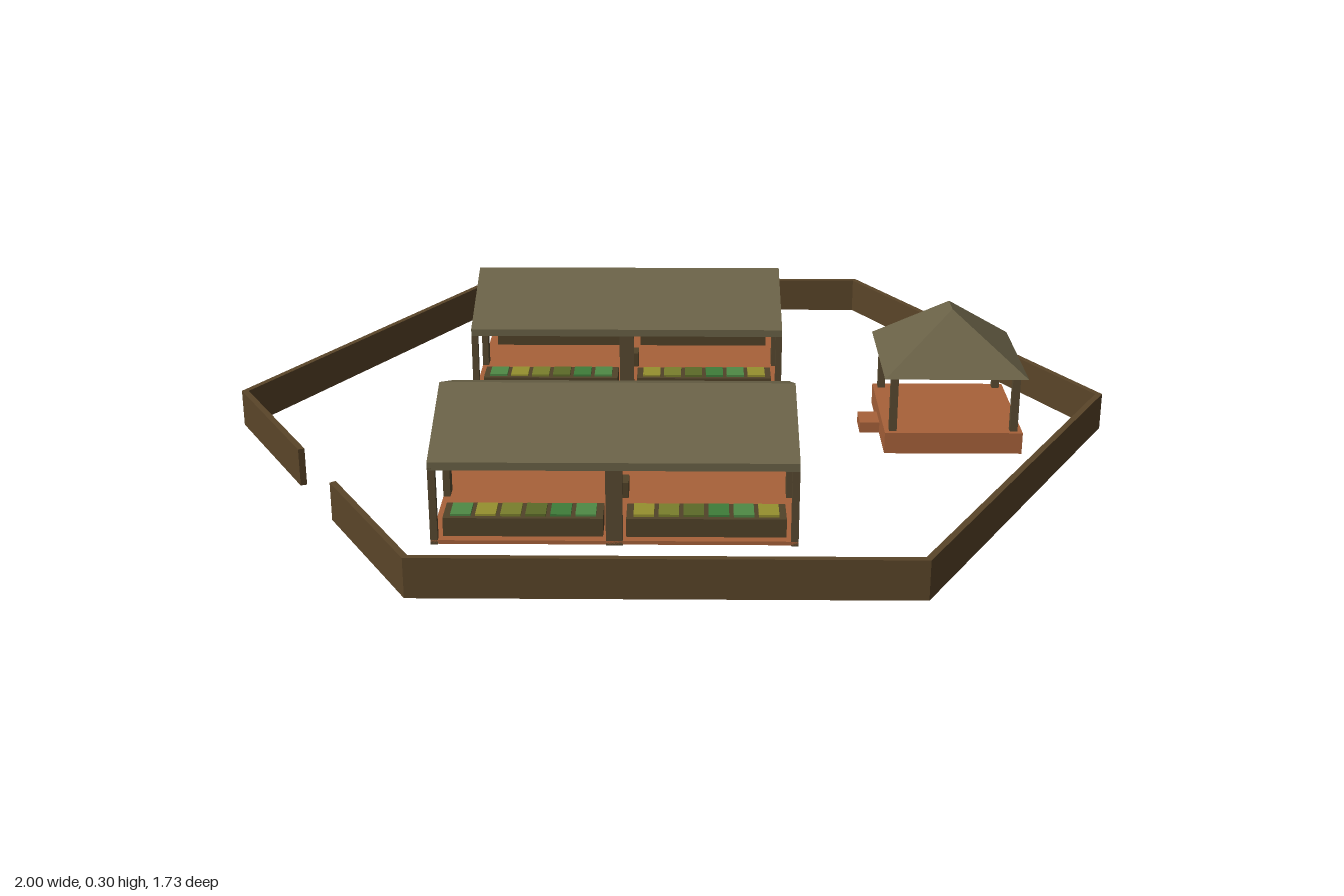
import * as THREE from 'three';

const mat = (color, extra = {}) => new THREE.MeshStandardMaterial({ color, flatShading: true, ...extra });
const fenceWood = mat(0x5a4529);
const postWood = mat(0x584a31);
const planterWood = mat(0x514329);
const thatch = mat(0x6a6247, { side: THREE.DoubleSide });
const clay = mat(0xa8623a);
const crops = [0x3f7d3a, 0x7a7f2c, 0x4f8a45, 0x5c6a28, 0x96902f].map((c) => mat(c));

// Box given by its size, centre in plan and bottom height
function box(parent, name, material, w, h, d, x, y, z) {
  const mesh = new THREE.Mesh(new THREE.BoxGeometry(w, h, d), material);
  mesh.position.set(x, y + h / 2, z);
  mesh.name = name;
  parent.add(mesh);
  return mesh;
}

// Six-sided wall with an entrance gap in one side
function createFence() {
  const height = 0.085;
  const line = (r) => {
    const pts = [];
    for (let i = 0; i < 6; i++) {
      const a = Math.PI - (i * Math.PI) / 3;
      pts.push(new THREE.Vector2(r * Math.cos(a), r * Math.sin(a)));
    }
    const start = pts[0].clone().lerp(pts[1], 0.6);
    const end = pts[0].clone().lerp(pts[1], 0.4);
    return [start, ...pts.slice(1), pts[0], end];
  };
  const shape = new THREE.Shape([...line(1), ...line(0.984).reverse()]);
  const geo = new THREE.ExtrudeGeometry(shape, { depth: height, bevelEnabled: false });
  geo.rotateX(Math.PI / 2).translate(0, height, 0);
  const mesh = new THREE.Mesh(geo, fenceWood);
  mesh.name = 'perimeterFence';
  return mesh;
}

// Planter box topped with a row of crop patches
function createPlanter(seed) {
  const g = new THREE.Group();
  g.name = 'planter';
  const length = 0.325, depth = 0.075, height = 0.05, count = 6;
  box(g, 'planterBox', planterWood, length, height, depth, 0, 0, 0);
  const step = (length - 0.02) / count;
  for (let i = 0; i < count; i++) {
    const x = (i - (count - 1) / 2) * step;
    box(g, 'cropPatch', crops[(i * 2 + seed) % crops.length], step * 0.82, 0.006, depth - 0.02, x, height - 0.001, 0);
  }
  return g;
}

// Open gabled growing shed
function createShed() {
  const g = new THREE.Group();
  g.name = 'gardenShed';
  const hx = 0.372, hz = 0.23, eave = 0.164, ridge = 0.247, t = 0.017, post = 0.015, wide = 0.034;

  box(g, 'shedFloor', clay, hx * 2, 0.008, hz * 2, 0, 0.002, 0);
  box(g, 'centreStand', planterWood, 0.045, 0.045, 0.045, 0, 0, 0);

  // Chevron roof section swept along the shed
  const profile = new THREE.Shape([
    [-hz, eave], [0, ridge], [hz, eave], [hz, eave + t], [0, ridge + t], [-hz, eave + t],
  ].map(([x, y]) => new THREE.Vector2(x, y)));
  const geo = new THREE.ExtrudeGeometry(profile, { depth: hx * 2, bevelEnabled: false });
  geo.translate(0, 0, -hx).rotateY(-Math.PI / 2);
  const roof = new THREE.Mesh(geo, thatch);
  roof.name = 'gableRoof';
  g.add(roof);

  for (const s of [-1, 1]) {
    // Posts at corners, mid-eaves and gable centres
    for (const k of [-1, 1]) {
      box(g, 'cornerPost', postWood, post, eave + 0.005, post, s * (hx - post / 2), 0, k * (hz - post / 2));
    }
    box(g, 'eavePost', postWood, wide, eave + 0.005, post, 0, 0, s * (hz - post / 2));
    box(g, 'gablePost', postWood, post, ridge, wide, s * (hx - post / 2), 0, 0);
    // Two planters along each eave
    for (const k of [-1, 1]) {
      const planter = createPlanter(s + k + 2);
      planter.position.set(k * 0.186, 0, s * (hz - 0.057));
      g.add(planter);
    }
  }
  return g;
}

// Hipped roof with a short ridge along z
function hipRoof(w, y0, y1, r) {
  const A = [-w, y0, w], B = [w, y0, w], C = [w, y0, -w], D = [-w, y0, -w];
  const F = [0, y1, r], K = [0, y1, -r];
  const tris = [A, B, F, B, C, K, B, K, F, C, D, K, D, A, F, D, F, K];
  const geo = new THREE.BufferGeometry();
  geo.setAttribute('position', new THREE.Float32BufferAttribute(tris.flat(), 3));
  geo.computeVertexNormals();
  return geo;
}

// Square pavilion on a raised hollow platform
function createPavilion() {
  const g = new THREE.Group();
  g.name = 'pavilion';
  const half = 0.155, top = 0.05, skirt = 0.01;
  box(g, 'platformFloor', clay, half * 2, 0.012, half * 2, 0, top - 0.012, 0);
  for (const s of [-1, 1]) {
    box(g, 'platformSkirt', clay, skirt, top - 0.012, half * 2, s * (half - skirt / 2), 0, 0);
    box(g, 'platformSkirt', clay, 2 * (half - skirt), top - 0.012, skirt, 0, 0, s * (half - skirt / 2));
    for (const k of [-1, 1]) {
      box(g, 'pavilionPost', postWood, 0.017, 0.185 - top, 0.017, s * 0.136, top, k * 0.136);
    }
  }
  box(g, 'entryStep', clay, 0.045, 0.025, 0.068, -half - 0.0225, 0, 0);
  const roof = new THREE.Mesh(hipRoof(0.16, 0.18, 0.302, 0.03), thatch);
  roof.name = 'hipRoof';
  g.add(roof);
  return g;
}

export function createModel() {
  const model = new THREE.Group();
  model.name = 'gardenCompound';
  model.add(createFence());
  for (const z of [-0.395, 0.404]) {
    const shed = createShed();
    shed.position.set(-0.108, 0, z);
    model.add(shed);
  }
  const pavilion = createPavilion();
  pavilion.position.set(0.638, 0, 0);
  model.add(pavilion);
  return model;
}
